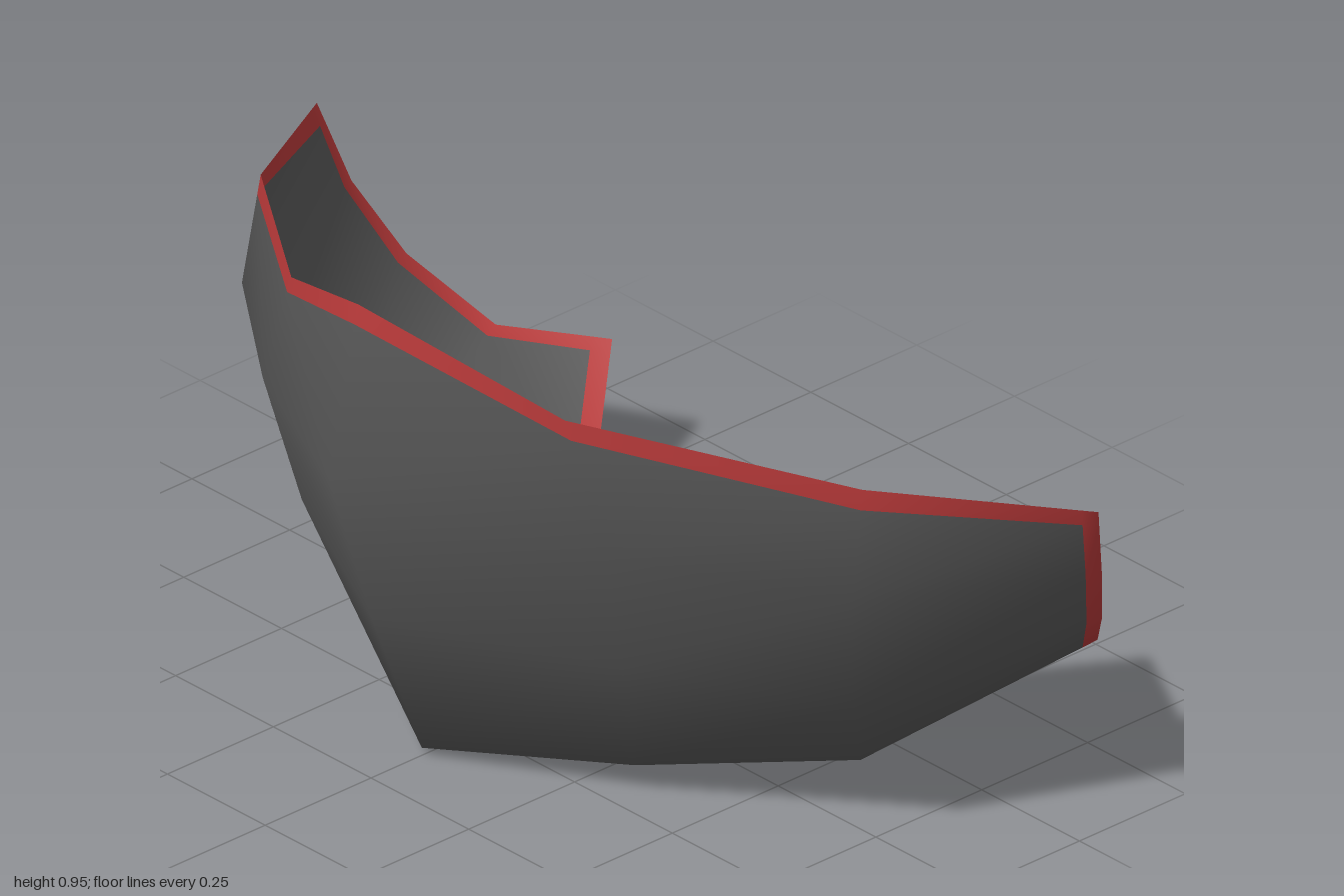
import * as THREE from 'three';

// Half cross-sections, centre line to left end, from the top edge down and under the chin
const HALF_ROWS = [
  [[0, 0.95, 0.53], [0.35, 0.80, 0.365], [0.77, 0.715, 0.05], [1, 0.635, -0.295]],
  [[0, 0.63, 0.60], [0.44, 0.56, 0.35], [0.78, 0.51, 0.085], [0.96, 0.48, -0.34]],
  [[0, 0.32, 0.50], [0.41, 0.305, 0.285], [0.745, 0.275, 0.05], [0.89, 0.34, -0.405]],
  [[0, 0.015, 0.38], [0.35, 0.055, 0.20], [0.635, 0.08, -0.07], [0.77, 0.21, -0.505]],
  [[0, 0, -0.235], [0.21, 0.03, -0.285], [0.42, 0.105, -0.42], [0.575, 0.225, -0.60]],
];

// Adds a point a fixed distance in from each end of a line of points
function insetEnds(line, distance) {
  const step = (a, b) => a.clone().add(b.clone().sub(a).setLength(distance));
  const n = line.length;
  return [line[0], step(line[0], line[1]), ...line.slice(1, -1),
    step(line[n - 1], line[n - 2]), line[n - 1]];
}

const transpose = (grid) => grid[0].map((_, j) => grid.map((row) => row[j]));

export function createModel() {
  const charcoal = new THREE.MeshStandardMaterial({ color: 0x555555, side: THREE.DoubleSide });
  const red = new THREE.MeshStandardMaterial({ color: 0xb53838, side: THREE.DoubleSide });

  // Mirror the sections, then add the inner line of the border all round
  let grid = HALF_ROWS.map((half) => {
    const left = half.map((p) => new THREE.Vector3(...p));
    const right = half.slice(1).reverse().map(([x, y, z]) => new THREE.Vector3(-x, y, z));
    return insetEnds([...right, ...left], 0.03);
  });
  grid = transpose(transpose(grid).map((column) => insetEnds(column, 0.038)));

  // Sort the faces into shell and border
  const rows = grid.length, cols = grid[0].length;
  const shellFaces = [], trimFaces = [];
  for (let i = 0; i < rows - 1; i++) {
    for (let j = 0; j < cols - 1; j++) {
      const a = i * cols + j, b = a + cols, c = b + 1, d = a + 1;
      const border = i === 0 || j === 0 || i === rows - 2 || j === cols - 2;
      const faces = j < (cols - 1) / 2 ? [a, b, c, a, c, d] : [a, b, d, b, c, d];
      (border ? trimFaces : shellFaces).push(...faces);
    }
  }

  // Both parts share vertices and smooth normals, so the surface stays continuous
  const surface = new THREE.BufferGeometry().setFromPoints(grid.flat());
  surface.setIndex([...shellFaces, ...trimFaces]);
  surface.computeVertexNormals();

  const group = new THREE.Group();
  group.name = 'jawGuard';
  const addPart = (name, faces, material) => {
    const geometry = surface.clone();
    geometry.setIndex(faces);
    const mesh = new THREE.Mesh(geometry, material);
    mesh.name = name;
    group.add(mesh);
  };
  charcoal.name = 'charcoal';
  red.name = 'red';
  addPart('maskShell', shellFaces, charcoal);
  addPart('edgeTrim', trimFaces, red);
  return group;
}
